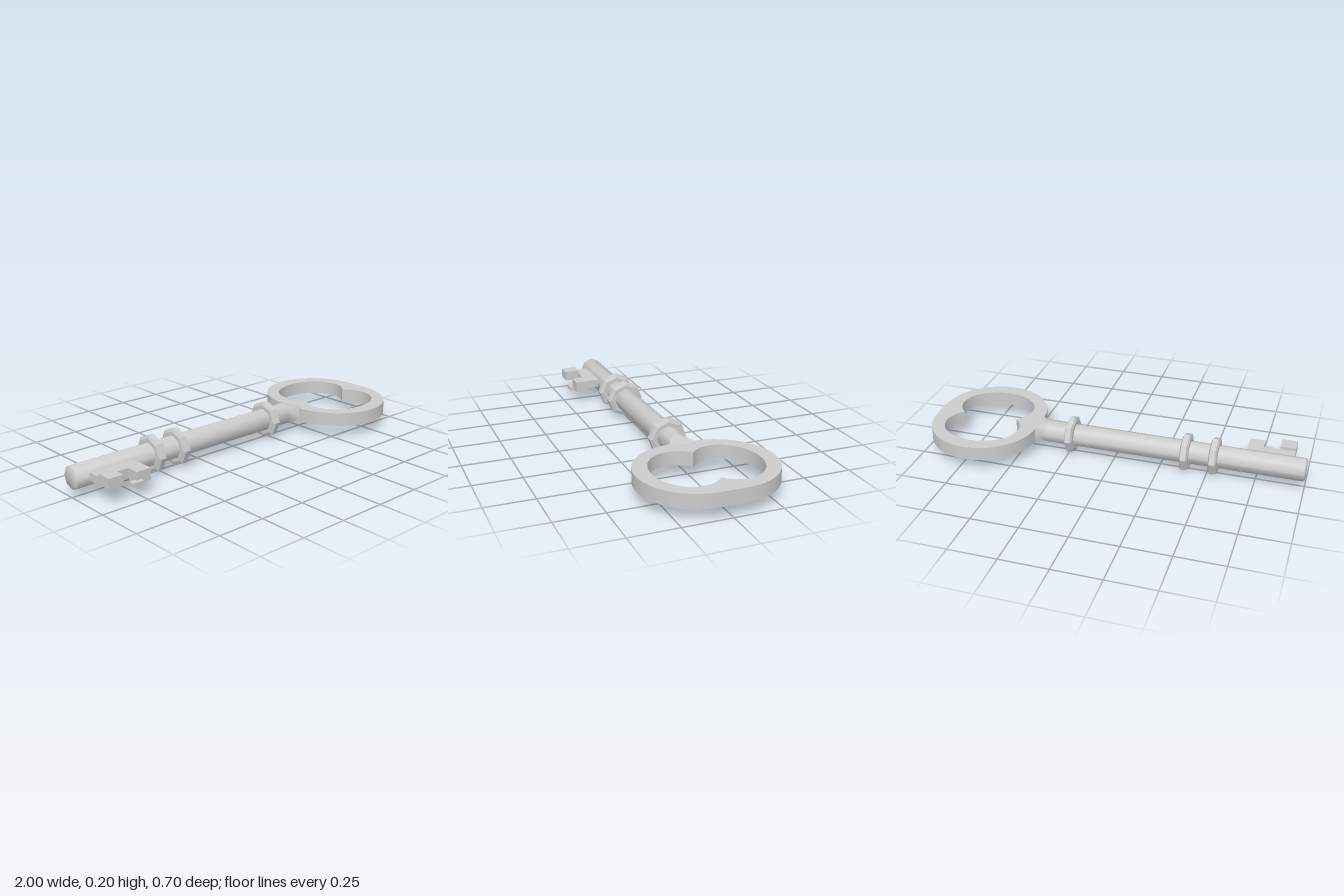
import * as THREE from 'three';
import { toCreasedNormals } from 'three/addons/utils/BufferGeometryUtils.js';

const AXIS_Y = 0.099;
const material = new THREE.MeshStandardMaterial({ color: 0xcccccc });

function add(group, name, geometry, x = 0, y = AXIS_Y, z = 0) {
  const mesh = new THREE.Mesh(geometry, material);
  mesh.name = name;
  mesh.position.set(x, y, z);
  group.add(mesh);
}

// Eight-sided turned part lying along x; profile is [radius, x]
function turned(profile, crease) {
  const points = profile.map(([r, x]) => new THREE.Vector2(r, x));
  const geometry = new THREE.LatheGeometry(points, 8).rotateZ(-Math.PI / 2);
  return toCreasedNormals(geometry, crease);
}

// Flare from the octagonal shaft to the flat edge of the bow
function neckGeometry() {
  const length = 0.075;
  const geometry = new THREE.CylinderGeometry(0.061, 0.061, length, 8, 4).rotateZ(-Math.PI / 2);
  const p = geometry.attributes.position;
  for (let i = 0; i < p.count; i++) {
    const t = p.getX(i) / length + 0.5;
    const y = p.getY(i), z = p.getZ(i);
    const flatY = Math.abs(y) < 0.01 ? 0 : Math.sign(y) * 0.036;
    const flatZ = Math.abs(z) < 0.01 ? 0 : Math.sign(z) * 0.088;
    p.setY(i, THREE.MathUtils.lerp(y, flatY, t));
    p.setZ(i, THREE.MathUtils.lerp(z, flatZ, t * t));
  }
  return toCreasedNormals(geometry, 0.9);
}

// Oval ring whose opening is two overlapping ellipses meeting in cusps
function bowGeometry() {
  const shape = new THREE.Shape();
  shape.absarc(0, 0.063, 0.287, 0, Math.PI, false);
  shape.absarc(0, -0.063, 0.287, Math.PI, Math.PI * 2, false);
  shape.closePath();

  const hole = new THREE.Path();
  const cusp = Math.asin(0.67);
  hole.absellipse(0, 0.11, 0.205, 0.164, -cusp, Math.PI + cusp, false);
  hole.absellipse(0, -0.11, 0.205, 0.164, Math.PI - cusp, Math.PI * 2 + cusp, false);
  shape.holes.push(hole);

  const depth = 0.073;
  const geometry = new THREE.ExtrudeGeometry(shape, { depth, bevelEnabled: false, curveSegments: 20 });
  geometry.translate(0, 0, -depth / 2).rotateX(-Math.PI / 2);
  return toCreasedNormals(geometry, 0.6);
}

export function createModel() {
  const key = new THREE.Group();
  key.name = 'key';

  // Shaft with a closed, slightly softened tip
  add(key, 'shaft', turned([[0, -1], [0.054, -1], [0.061, -0.992], [0.061, 0.375], [0, 0.375]], 0.9));
  add(key, 'neck', neckGeometry(), 0.4075);
  add(key, 'bow', bowGeometry(), 0.713);

  // Chamfered collars
  const collarProfile = [[0.05, -0.022], [0.082, -0.022], [0.099, -0.014],
    [0.099, 0.014], [0.082, 0.022], [0.05, 0.022]];
  for (const x of [-0.535, -0.385, 0.237]) add(key, 'collar', turned(collarProfile, 0.3), x);

  // Bit plate and its stepped teeth: x, y and z ranges
  const bit = new THREE.Group();
  bit.name = 'bit';
  const blocks = [
    ['bitPlate', -0.93, -0.685, 0.081, 0.122, 0.03, 0.125],
    ['outerTooth', -0.93, -0.85, 0.086, 0.138, 0.125, 0.205],
    ['innerTooth', -0.765, -0.685, 0.062, 0.122, 0.125, 0.19],
    ['toothTip', -0.8, -0.74, 0.058, 0.08, 0.178, 0.212],
  ];
  for (const [name, x0, x1, y0, y1, z0, z1] of blocks) {
    add(bit, name, new THREE.BoxGeometry(x1 - x0, y1 - y0, z1 - z0),
      (x0 + x1) / 2, (y0 + y1) / 2, (z0 + z1) / 2);
  }
  key.add(bit);

  return key;
}
